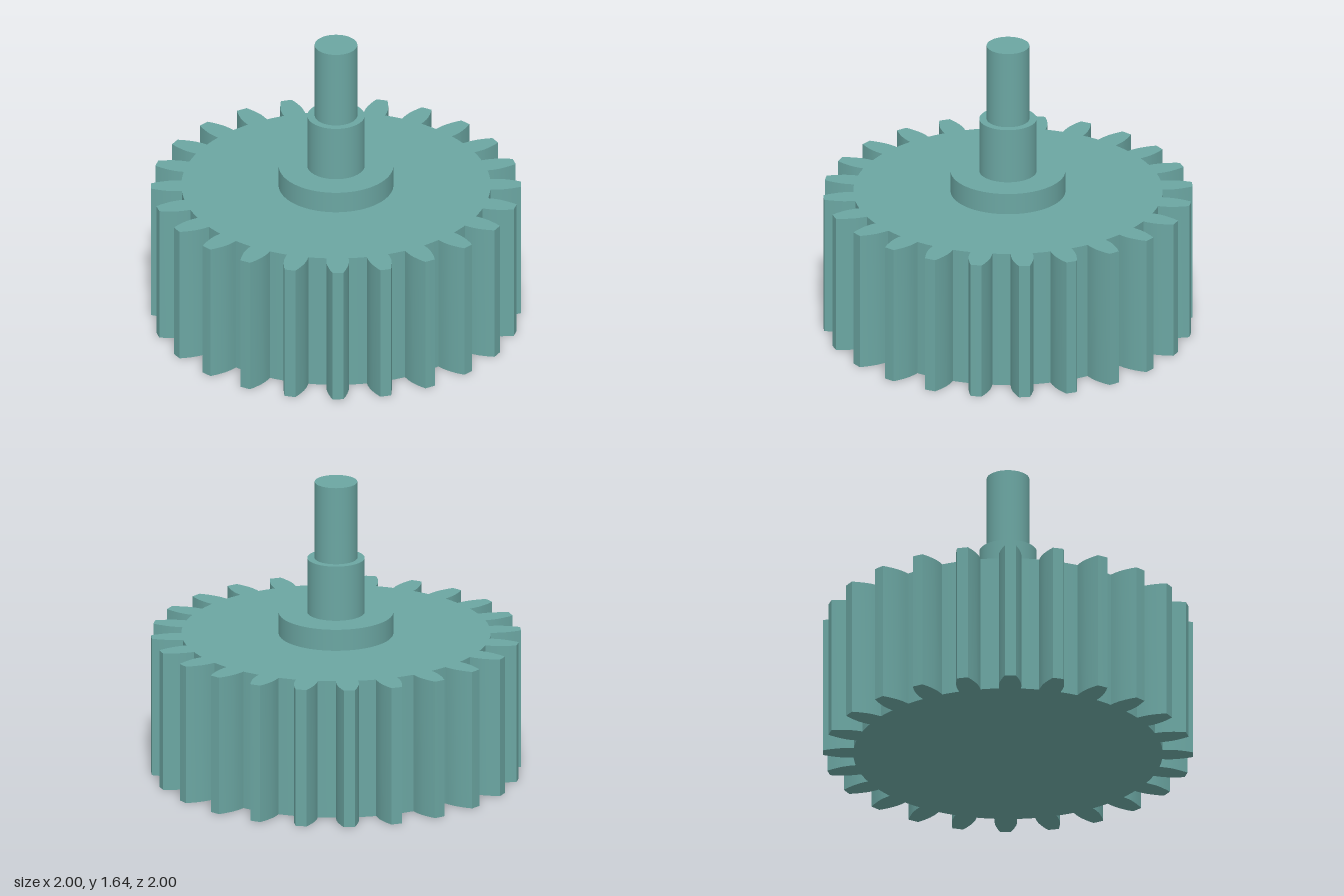
import * as THREE from 'three';
import { toCreasedNormals } from 'three/addons/utils/BufferGeometryUtils.js';

const TEETH = 24;
const GEAR_HEIGHT = 0.78;

// Tooth flank from root to tip: [radius, half width]
const FLANK = [
  [0.84, 0.06], [0.87, 0.0615], [0.9, 0.06], [0.92, 0.057],
  [0.945, 0.051], [0.975, 0.042], [1.005, 0.03],
];

// Closed outline of the gear, tooth by tooth
function gearOutline() {
  const points = [];
  const pitch = (Math.PI * 2) / TEETH;
  const add = (r, a) => points.push(new THREE.Vector2(r * Math.cos(a), r * Math.sin(a)));
  const halfAngle = ([r, w]) => Math.asin(w / r);
  const rootRadius = FLANK[0][0];
  const gap = pitch - 2 * halfAngle(FLANK[0]);
  for (let i = 0; i < TEETH; i++) {
    const mid = (i + 0.5) * pitch;
    for (const p of FLANK) add(p[0], mid - halfAngle(p));
    add(FLANK[FLANK.length - 1][0], mid); // rounded tip
    for (const p of [...FLANK].reverse()) add(p[0], mid + halfAngle(p));
    // root arc to the next tooth
    for (let k = 1; k < 4; k++) add(rootRadius, mid + halfAngle(FLANK[0]) + (gap * k) / 4);
  }
  return points;
}

export function createModel() {
  const group = new THREE.Group();
  group.name = 'gearWithShaft';
  const metal = new THREE.MeshStandardMaterial({ color: 0x6ba6a2 });
  metal.name = 'teal metal';

  // Toothed gear body
  const extruded = new THREE.ExtrudeGeometry(new THREE.Shape(gearOutline()), {
    depth: GEAR_HEIGHT, bevelEnabled: false,
  });
  extruded.rotateX(-Math.PI / 2);
  const gear = new THREE.Mesh(toCreasedNormals(extruded, 0.45), metal);
  gear.name = 'gear';
  group.add(gear);

  // Stepped hub and shaft: name, radius, bottom, top
  const steps = [
    ['collar', 0.312, GEAR_HEIGHT, 0.9],
    ['lowerShaft', 0.156, 0.9, 1.21],
    ['upperShaft', 0.116, 1.21, 1.645],
  ];
  for (const [name, radius, bottom, top] of steps) {
    const mesh = new THREE.Mesh(
      new THREE.CylinderGeometry(radius, radius, top - bottom, 64), metal);
    mesh.position.y = (bottom + top) / 2;
    mesh.name = name;
    group.add(mesh);
  }
  return group;
}
